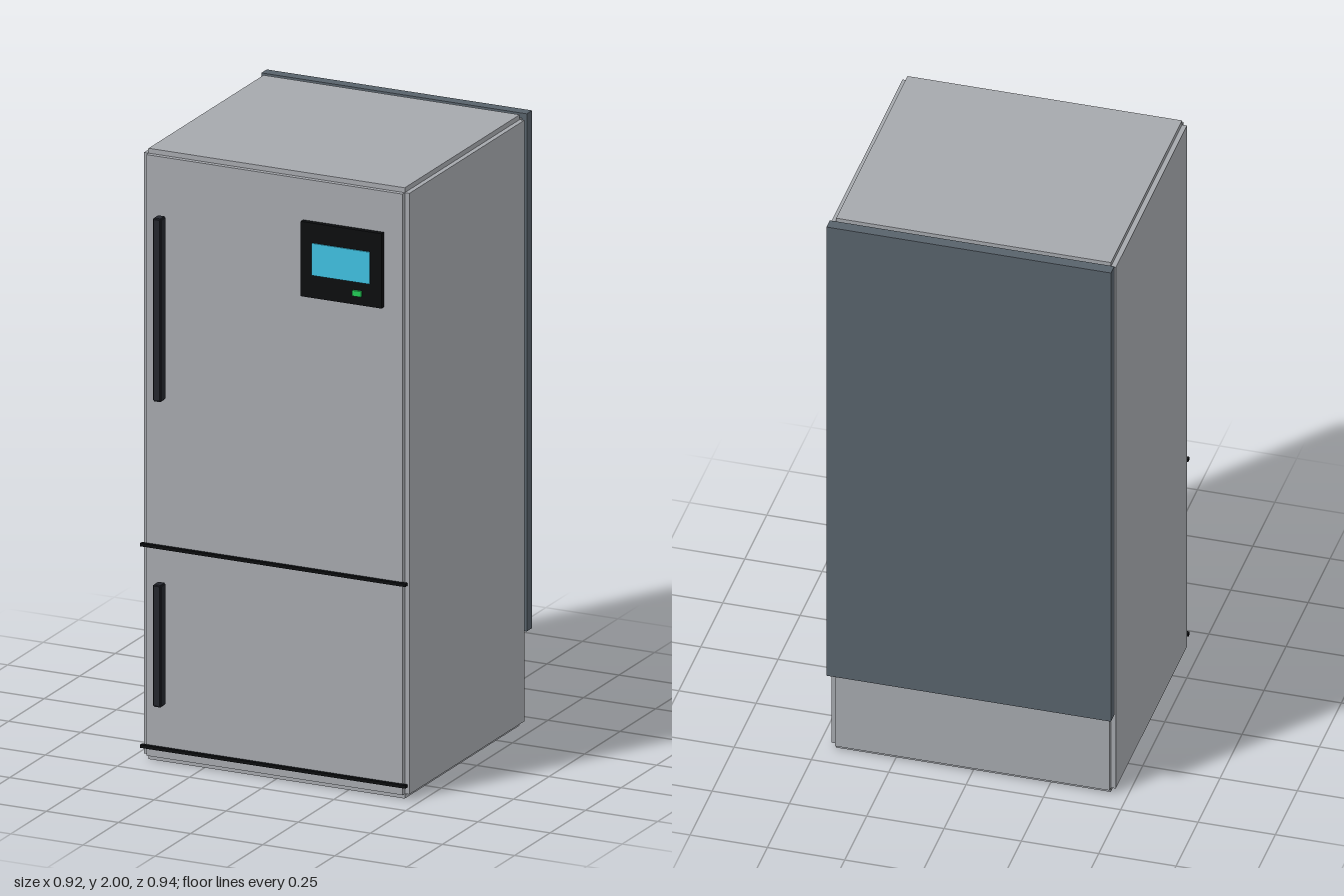
import * as THREE from 'three';

const mat = (color) => new THREE.MeshStandardMaterial({ color });

// Box from min/max corners
function box(name, material, [x0, x1], [y0, y1], [z0, z1]) {
  const mesh = new THREE.Mesh(new THREE.BoxGeometry(x1 - x0, y1 - y0, z1 - z0), material);
  mesh.position.set((x0 + x1) / 2, (y0 + y1) / 2, (z0 + z1) / 2);
  mesh.name = name;
  return mesh;
}

// Box with stepped edges: three crossed slabs, each full size along one axis
function steppedBox(name, material, ranges, step) {
  const group = new THREE.Group();
  group.name = name;
  for (let axis = 0; axis < 3; axis++) {
    const r = ranges.map(([a, b], i) => (i === axis ? [a, b] : [a + step, b - step]));
    group.add(box(name + 'Slab', material, ...r));
  }
  return group;
}

export function createModel() {
  const model = new THREE.Group();
  model.name = 'refrigerator';
  const steel = mat(0xa5a8ad);
  const black = mat(0x0c0d0f);
  const handleMat = mat(0x24262d);

  // Cabinet and rear panel
  model.add(steppedBox('cabinet', steel, [[-0.46, 0.46], [0, 2], [-0.431, 0.41]], 0.016));
  model.add(box('backPanel', mat(0x58626b), [-0.46, 0.46], [0.305, 2], [-0.47, -0.432]));

  // Dark seams below each door
  for (const [name, y] of [['doorSeam', 0.708], ['baseSeam', 0.048]])
    model.add(box(name, black, [-0.46, 0.46], [y - 0.005, y + 0.005], [0.408, 0.423]));

  // Door handles
  for (const [name, y0, y1] of [['upperHandle', 1.2, 1.8], ['lowerHandle', 0.2, 0.6]])
    model.add(steppedBox(name, handleMat, [[-0.395, -0.365], [y0, y1], [0.43, 0.468]], 0.004));

  // Control panel with display and status light
  model.add(box('controlPanel', black, [0.1, 0.38], [1.605, 1.85], [0.408, 0.428]));
  model.add(box('display', mat(0x40c0e0), [0.14, 0.34], [1.68, 1.785], [0.42, 0.432]));
  model.add(box('statusLight', mat(0x22cc55), [0.283, 0.313], [1.635, 1.653], [0.42, 0.437]));

  return model;
}
